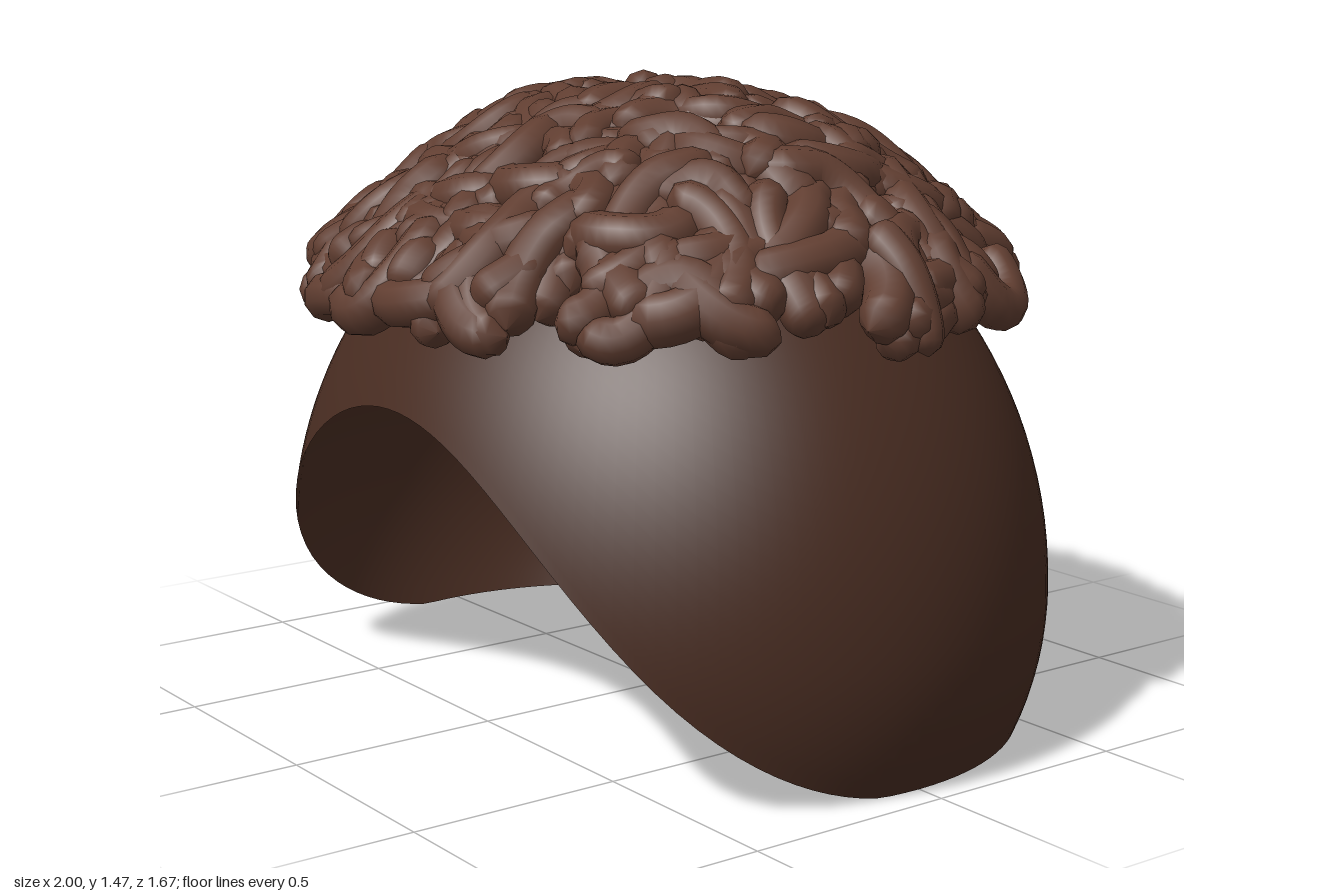
import * as THREE from 'three';
import { mergeGeometries, mergeVertices } from 'three/addons/utils/BufferGeometryUtils.js';

// Shell ellipsoid: centre height, lower height radius and depth radius (the other radii are 1)
const CY = 0.32, LOW = 0.86, RZ = 0.84;
// Half width and half depth of the curl dome
const A = 0.87, B = 0.765;

function makeRandom(seed) {
  return () => {
    seed = (seed * 1664525 + 1013904223) % 4294967296;
    return seed / 4294967296;
  };
}

// Weld the seams so normals run smoothly across them
function weld(geometry) {
  geometry.deleteAttribute('uv');
  geometry.deleteAttribute('normal');
  const welded = mergeVertices(geometry, 1e-5);
  welded.computeVertexNormals();
  return welded;
}

// Cosine of the polar angle at a given height of the shell
const shellCos = y => (y - CY) / (y < CY ? LOW : 1);

// Height of the lower rim: a parabolic arch at the front, level elsewhere
function rimHeight(sx, cz) {
  if (cz <= 0) return 0.005;
  let y = 0.4;
  for (let i = 0; i < 60; i++) {
    const r2 = 1 - shellCos(y) ** 2;
    y = 0.5 * y + 0.5 * 0.775 * (1 - (sx * sx * r2) / 0.856);
  }
  return Math.max(0.005, y);
}

// Open ellipsoid cap whose rows stretch from the crown down to the rim
function shellGeometry() {
  const g = new THREE.SphereGeometry(1, 128, 40, 0, Math.PI * 2, 0, 3);
  const p = g.attributes.position, uv = g.attributes.uv;
  for (let i = 0; i < p.count; i++) {
    const a = uv.getX(i) * Math.PI * 2, t = 1 - uv.getY(i);
    const sx = -Math.cos(a), cz = Math.sin(a);
    const polar = t * Math.acos(shellCos(rimHeight(sx, cz)));
    const c = Math.cos(polar), s = Math.sin(polar);
    p.setXYZ(i, sx * s, CY + c * (c < 0 ? LOW : 1), RZ * cz * s);
  }
  return weld(g);
}

// Point on the dome that the curls follow
function domePoint(x, z, lift) {
  const rho = Math.hypot(x / A, z / B);
  const c = rho > 0 ? (x / A / rho) ** 2 : 0;
  return new THREE.Vector3(x, 1.405 - 0.39 * Math.pow(rho, 1.8 + 0.9 * c) + lift, z);
}

// Tube along a path, with rounded ends
function sausage(points, radius, endScale = 1) {
  const curve = new THREE.CatmullRomCurve3(points);
  const rings = 18, sides = 10, length = curve.getLength();
  const g = new THREE.TubeGeometry(curve, rings, radius, sides);
  const p = g.attributes.position, v = new THREE.Vector3();
  for (let i = 0; i <= rings; i++) {
    const u = i / rings, centre = curve.getPointAt(u);
    const d = Math.min(1, Math.min(u, 1 - u) * length / radius);
    const s = Math.max(0.02, Math.sqrt(1 - (1 - d) ** 2)) * (1 + (endScale - 1) * u);
    for (let j = 0; j <= sides; j++) {
      const n = i * (sides + 1) + j;
      v.fromBufferAttribute(p, n).sub(centre).multiplyScalar(s).add(centre);
      p.setXYZ(n, v.x, v.y, v.z);
    }
  }
  return weld(g);
}

// One curl: a short worm in an arc or S shape, lying on the dome
function curl(x, z, lift, random) {
  const length = 0.24 + 0.12 * random(), radius = 0.05 + 0.011 * random();
  const steps = 7, ds = length / steps;
  const turn = (random() < 0.5 ? -1 : 1) * (1.6 + 2 * random());
  const sShaped = random() < 0.35;
  let heading = random() * Math.PI * 2;
  const path = [];
  let px = 0, pz = 0;
  for (let i = 0; i <= steps; i++) {
    path.push([px, pz]);
    px += Math.cos(heading) * ds;
    pz += Math.sin(heading) * ds;
    heading += (sShaped && i > steps / 2 ? -turn : turn) / steps;
  }
  // Pull the whole curl inward until it fits on the dome
  const reach = k => Math.max(...path.map(([a, b]) =>
    Math.hypot((x * k + a - px / 2) / A, (z * k + b - pz / 2) / B)));
  let k = 1;
  while (reach(k) > 1.02 && k > 0.5) k -= 0.02;
  const points = path.map(([a, b], i) =>
    domePoint(x * k + a - px / 2, z * k + b - pz / 2, lift + 0.015 * Math.sin(i * 0.9 + heading)));
  return sausage(points, radius);
}

function curlsGeometry() {
  const random = makeRandom(77), parts = [];
  // Golden-angle scatter: a full upper layer and a sparse one filling the gaps below
  for (const [count, lift] of [[230, 0], [90, -0.035]]) {
    for (let i = 0; i < count; i++) {
      const r = 0.97 * Math.sqrt((i + 0.5) / count), a = i * 2.39996 + lift * 20;
      const x = A * r * Math.cos(a) + (random() - 0.5) * 0.05;
      const z = B * r * Math.sin(a) + (random() - 0.5) * 0.05;
      parts.push(curl(x, z, lift + (random() - 0.5) * 0.02, random));
    }
  }
  // Plump curls slanting over the edge
  for (let i = 0; i < 26; i++) {
    const a = (i + random() * 0.6) / 26 * Math.PI * 2, b = a + (random() - 0.5) * 0.4;
    const at = (angle, r, y) =>
      new THREE.Vector3(A * r * Math.cos(angle), y, B * r * Math.sin(angle));
    const low = 1.0 + random() * 0.06, out = 0.97 + random() * 0.05;
    parts.push(sausage([at(a, 0.83, 1.13), at((a + b) / 2, 0.92, 1.09), at(b, out, low)], 0.056));
  }
  return mergeGeometries(parts);
}

export function createModel() {
  const group = new THREE.Group();
  group.name = 'hair';
  const shellMaterial = new THREE.MeshStandardMaterial({ color: 0x482c21, side: THREE.DoubleSide });
  const curlMaterial = new THREE.MeshStandardMaterial({ color: 0x613e31 });
  const add = (name, geometry, material) => {
    const mesh = new THREE.Mesh(geometry, material);
    mesh.name = name;
    group.add(mesh);
  };

  add('hairShell', shellGeometry(), shellMaterial);
  add('curls', curlsGeometry(), curlMaterial);

  // Loose lock on the left side
  const lock = [[0.74, 1.2, 0], [0.83, 1.12, -0.02], [0.88, 1.02, -0.03], [0.9, 0.94, -0.03]];
  add('looseLock', sausage(lock.map(q => new THREE.Vector3(...q)), 0.05, 0.75), curlMaterial);
  return group;
}
